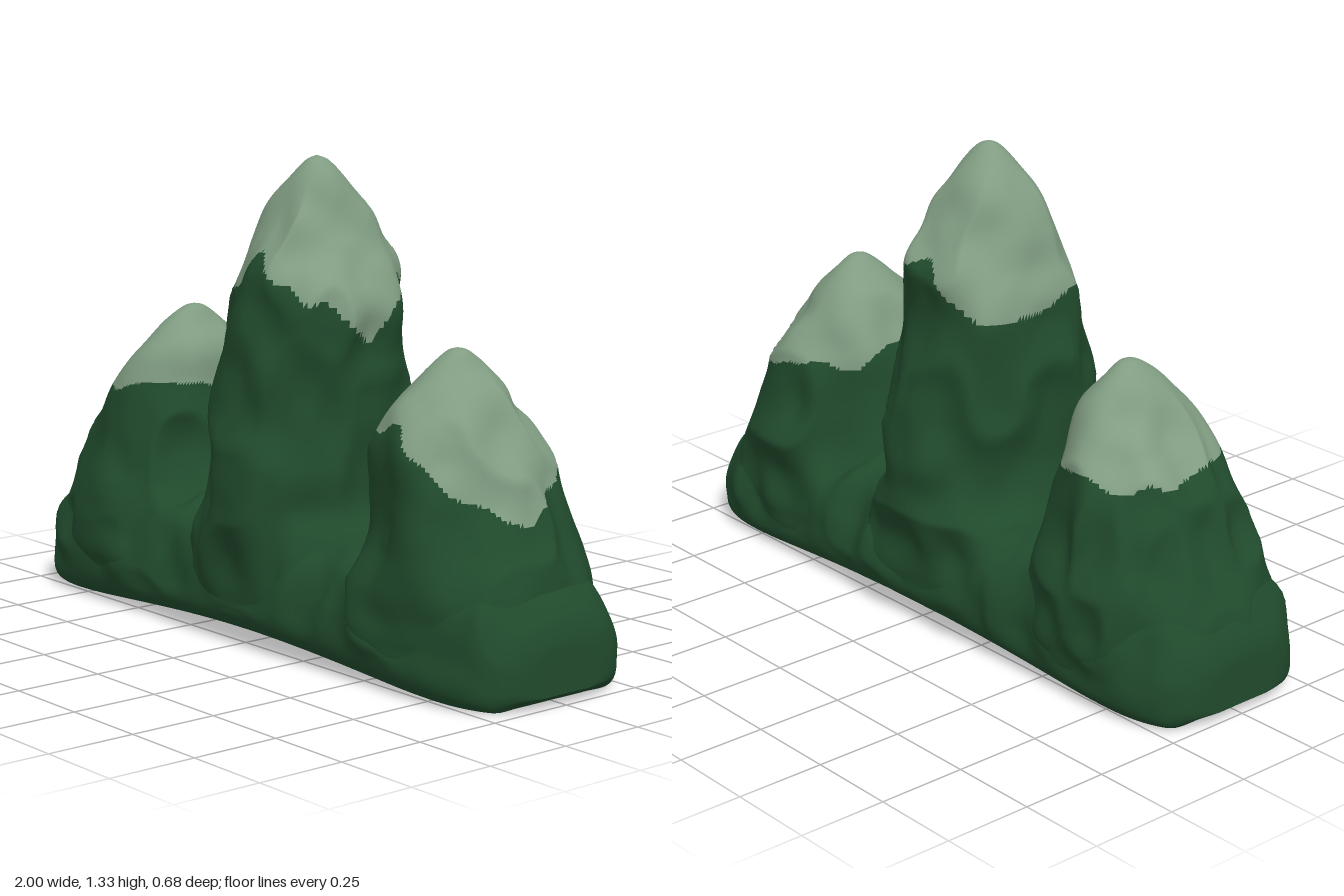
import * as THREE from 'three';

const { lerp, clamp, smoothstep } = THREE.MathUtils;

// Seeded value noise, 0..1
function hash(x, y, z) {
  let h = Math.imul(x, 374761393) ^ Math.imul(y, 668265263) ^ Math.imul(z, 1274126177);
  h = Math.imul(h ^ (h >>> 13), 1103515245);
  return ((h ^ (h >>> 16)) >>> 0) / 4294967296;
}
function noise(x, y, z) {
  const i = Math.floor(x), j = Math.floor(y), k = Math.floor(z);
  const s = (t) => t * t * (3 - 2 * t);
  const u = s(x - i), v = s(y - j), w = s(z - k);
  const row = (b, c) => lerp(hash(i, b, c), hash(i + 1, b, c), u);
  return lerp(lerp(row(j, k), row(j + 1, k), v), lerp(row(j, k + 1), row(j + 1, k + 1), v), w);
}
// Worn ridges and hollows, about -1..1
function rock(p) {
  const ridge = 1 - Math.abs(2 * noise(p.x * 7 + 11, p.y * 4.5 + 5, p.z * 7 + 23) - 1) * 2;
  const lumps = 2 * noise(p.x * 11 + 40, p.y * 8 + 7, p.z * 11 + 31) - 1;
  return clamp(0.7 * ridge + 0.5 * lumps - 0.2, -1, 1);
}

// Closed loft: point(t, a) gives the surface; isSnow picks the second material group
function loft(rows, cols, point, amount, isSnow) {
  const pos = [], faces = [[], []];
  for (let i = 0; i <= rows; i++) {
    for (let j = 0; j < cols; j++) pos.push(...point(i / rows, (j / cols) * Math.PI * 2).toArray());
  }
  const geo = new THREE.BufferGeometry();
  geo.setAttribute('position', new THREE.Float32BufferAttribute(pos, 3));
  const all = [];
  for (let i = 0; i < rows; i++) {
    for (let j = 0; j < cols; j++) {
      const k = (j + 1) % cols;
      const a = i * cols + j, b = i * cols + k, c = a + cols, d = b + cols;
      all.push([a, c, b], [b, c, d]);
    }
  }
  geo.setIndex(all.flat());
  geo.computeVertexNormals();
  const P = geo.attributes.position, N = geo.attributes.normal;
  const p = new THREE.Vector3(), n = new THREE.Vector3();
  for (let i = cols; i < rows * cols; i++) {
    p.fromBufferAttribute(P, i);
    n.fromBufferAttribute(N, i);
    p.addScaledVector(n, amount(p) * rock(p));
    P.setXYZ(i, p.x, p.y, p.z);
  }
  // sort faces by colour
  for (const f of all) {
    p.set(0, 0, 0);
    for (const v of f) p.add(n.fromBufferAttribute(P, v));
    faces[isSnow(p.divideScalar(3)) ? 1 : 0].push(...f);
  }
  geo.setIndex([...faces[0], ...faces[1]]);
  geo.addGroup(0, faces[0].length, 0);
  geo.addGroup(faces[0].length, faces[1].length, 1);
  geo.computeVertexNormals();
  return geo;
}

const power = (v, e) => Math.sign(v) * Math.abs(v) ** e;

// Peak from rows of [y, xMin, xMax, zHalf]; snow line every 45 degrees from +x towards +z
function peakGeometry(profile, line) {
  const sides = new THREE.CatmullRomCurve3(profile.map((r) => new THREE.Vector3(r[1], r[0], r[2])), false, 'catmullrom', 0.5);
  const depth = new THREE.CatmullRomCurve3(profile.map((r) => new THREE.Vector3(r[3], r[0], 0)), false, 'catmullrom', 0.5);
  const top = profile[profile.length - 1];
  const point = (t, a) => {
    const s = sides.getPoint(t), d = depth.getPoint(t).x;
    const e = lerp(0.92, 1, smoothstep(s.y, 0.2, 0.5));
    return new THREE.Vector3(
      (s.x + s.z) / 2 + power(Math.cos(a), e) * (s.z - s.x) / 2, s.y, power(Math.sin(a), e) * d);
  };
  const isSnow = (p) => {
    const a = ((Math.atan2(p.z, p.x - top[1]) / (Math.PI / 4)) + 8) % 8;
    const i = Math.floor(a);
    const edge = lerp(line[i % 8], line[(i + 1) % 8], smoothstep(a - i, 0, 1));
    return p.y > edge + 0.06 * (noise(p.x * 14, 3, p.z * 14) - 0.5);
  };
  const amount = (p) => 0.032 * smoothstep(top[0] - p.y, 0, 0.2) * smoothstep(p.y, 0.04, 0.2);
  return loft(106, 140, point, amount, isSnow);
}

// Long foot lofted along x from [x, top, zHalf]
function footGeometry() {
  const half = [[1, 0.11, 0.03], [0.998, 0.17, 0.13], [0.975, 0.235, 0.2], [0.92, 0.3, 0.25], [0.83, 0.35, 0.28],
    [0.7, 0.37, 0.29], [0.55, 0.37, 0.29], [0.43, 0.345, 0.29], [0.32, 0.335, 0.292], [0.17, 0.345, 0.297]];
  const stations = [...half.map(([x, y, z]) => [-x, y, z]), [0, 0.35, 0.3], ...half.slice().reverse()];
  const path = new THREE.CatmullRomCurve3(stations.map((s) => new THREE.Vector3(...s)), false, 'catmullrom', 0.5);
  const section = new THREE.CatmullRomCurve3(
    [[0, 0], [0.5, 0], [0.89, 0.015], [0.99, 0.11], [1, 0.32], [0.95, 0.56], [0.78, 0.8], [0.42, 0.96], [0, 1],
      [-0.42, 0.96], [-0.78, 0.8], [-0.95, 0.56], [-1, 0.32], [-0.99, 0.11], [-0.89, 0.015], [-0.5, 0]]
      .map(([z, y]) => new THREE.Vector3(0, y, z)), true);
  const point = (t, a) => {
    if (t === 0 || t === 1) return new THREE.Vector3(t ? 1 : -1, 0.08, 0);
    const s = path.getPoint(t), c = section.getPoint(a / (Math.PI * 2));
    const x = clamp(s.x, -1, 1);
    const bottom = 0.04 * (1 - smoothstep(Math.abs(x), 0, 0.9)) + 0.03 * smoothstep(Math.abs(x), 0.94, 1);
    return new THREE.Vector3(x, lerp(bottom, s.y, c.y), c.z * s.z);
  };
  const amount = (p) => 0.028 * smoothstep(p.y, 0.04, 0.13) * (1 - smoothstep(Math.abs(p.x), 0.88, 0.99));
  return loft(140, 96, point, amount, () => false);
}

export function createModel() {
  const forest = new THREE.MeshStandardMaterial({ color: 0x204a2c });
  forest.name = 'forest green';
  const pale = new THREE.MeshStandardMaterial({ color: 0x809c82 });
  pale.name = 'pale green';
  const model = new THREE.Group();
  model.name = 'mountainRange';
  const add = (name, geo) => {
    const mesh = new THREE.Mesh(geo, [forest, pale]);
    mesh.name = name;
    model.add(mesh);
  };

  // each peak's wall runs down inside the foot, so its ridges fade into it
  add('foot', footGeometry());
  add('centrePeak', peakGeometry([
    [0.05, 0, 0, 0], [0.06, -0.4, 0.4, 0.27], [0.13, -0.45, 0.44, 0.305], [0.24, -0.38, 0.36, 0.315],
    [0.32, -0.305, 0.29, 0.325], [0.38, -0.262, 0.248, 0.332], [0.47, -0.25, 0.235, 0.332], [0.6, -0.245, 0.23, 0.3],
    [0.78, -0.245, 0.23, 0.27], [0.92, -0.24, 0.255, 0.24], [1.02, -0.185, 0.22, 0.23], [1.1, -0.155, 0.175, 0.185],
    [1.19, -0.125, 0.115, 0.12], [1.27, -0.065, 0.075, 0.07], [1.315, -0.025, 0.04, 0.032], [1.33, 0.005, 0.005, 0],
  ], [0.87, 0.95, 1.08, 0.95, 0.9, 0.91, 1.04, 1.0]));
  add('rightPeak', peakGeometry([
    [0.03, -0.6, -0.6, 0], [0.04, -0.9, -0.3, 0.25], [0.13, -0.965, -0.26, 0.298], [0.22, -0.965, -0.31, 0.3],
    [0.31, -0.925, -0.36, 0.295], [0.4, -0.875, -0.4, 0.28], [0.5, -0.84, -0.42, 0.26], [0.6, -0.79, -0.435, 0.23],
    [0.68, -0.73, -0.445, 0.195], [0.75, -0.665, -0.465, 0.15], [0.81, -0.62, -0.5, 0.09], [0.85, -0.58, -0.525, 0.035],
    [0.86, -0.55, -0.55, 0],
  ], [0.65, 0.65, 0.64, 0.61, 0.59, 0.58, 0.62, 0.65]));
  add('leftPeak', peakGeometry([
    [0.03, 0.6, 0.6, 0], [0.04, 0.3, 0.9, 0.25], [0.13, 0.25, 0.965, 0.298], [0.22, 0.29, 0.965, 0.3],
    [0.31, 0.34, 0.935, 0.295], [0.4, 0.375, 0.89, 0.28], [0.5, 0.385, 0.845, 0.26], [0.6, 0.4, 0.795, 0.235],
    [0.68, 0.425, 0.76, 0.2], [0.75, 0.46, 0.71, 0.155], [0.81, 0.505, 0.65, 0.095], [0.858, 0.55, 0.61, 0.035],
    [0.87, 0.58, 0.58, 0],
  ], [0.46, 0.52, 0.67, 0.67, 0.63, 0.6, 0.6, 0.54]));
  return model;
}
